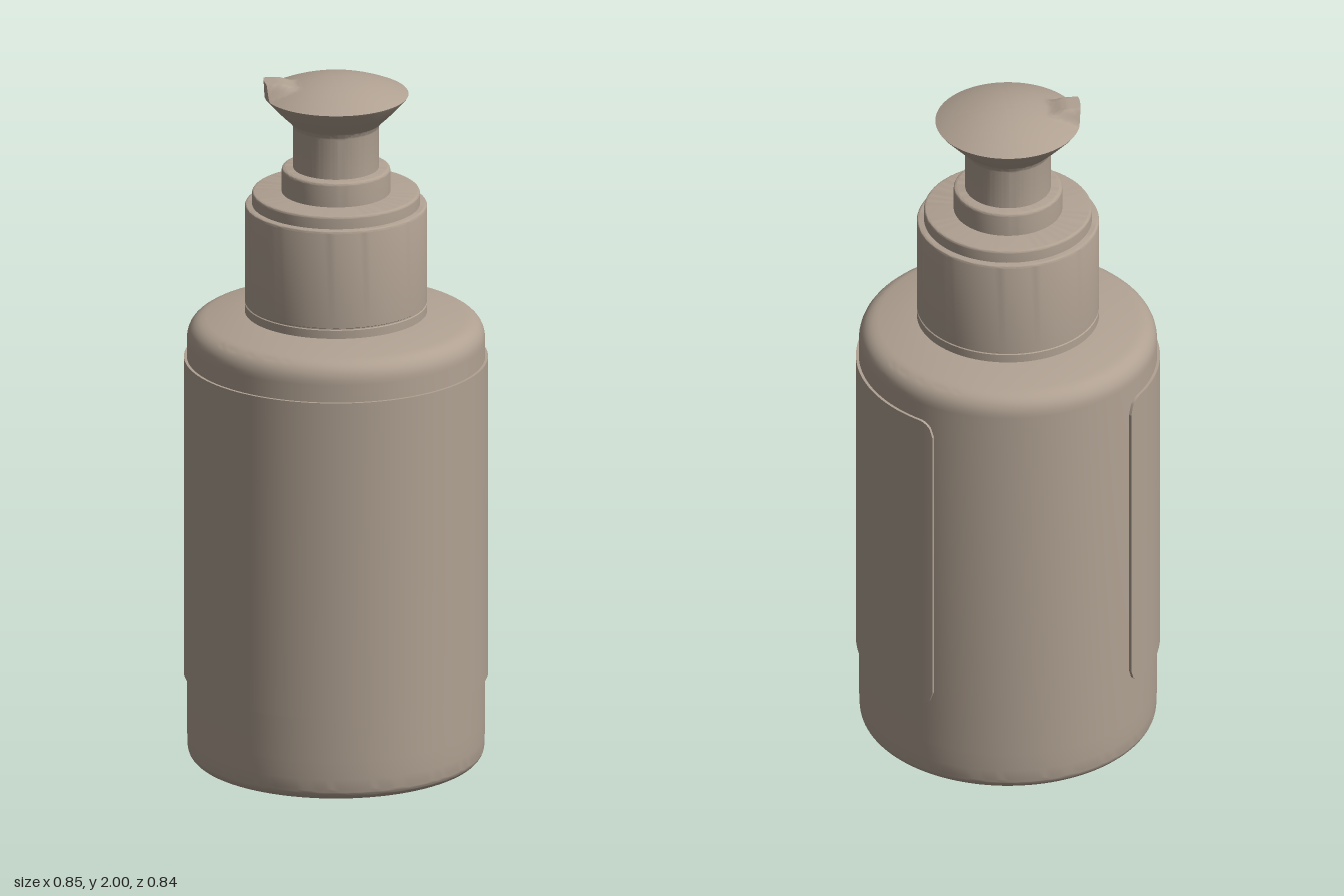
import * as THREE from 'three';
import { toCreasedNormals } from 'three/addons/utils/BufferGeometryUtils.js';

const beige = new THREE.MeshStandardMaterial({ color: 0xb0a192 });
beige.name = 'warm beige';

// Turns a list of [radius, y, cornerRadius] into a profile with rounded corners
function roundedProfile(corners, steps = 6) {
  const pts = corners.map(([x, y]) => new THREE.Vector2(x, y));
  const out = [];
  corners.forEach(([, , r = 0], i) => {
    const p = pts[i];
    if (!r || i === 0 || i === pts.length - 1) {
      out.push(p);
      return;
    }
    const a = pts[i - 1].clone().sub(p).setLength(r).add(p);
    const b = pts[i + 1].clone().sub(p).setLength(r).add(p);
    out.push(...new THREE.QuadraticBezierCurve(a, p, b).getPoints(steps));
  });
  return out;
}

function lathe(name, profile, segments = 96) {
  const geometry = toCreasedNormals(new THREE.LatheGeometry(profile, segments), 0.6);
  const mesh = new THREE.Mesh(geometry, beige);
  mesh.name = name;
  return mesh;
}

// Thin label wrapped round the bottle, with rounded corners and a gap at the back
function makeLabel() {
  const start = THREE.MathUtils.degToRad(-132), end = THREE.MathUtils.degToRad(144);
  const inner = 0.417, thick = 0.008, bottom = 0.25, top = 1.18, corner = 0.045;
  const width = (end - start) * inner;
  const geometry = new THREE.BoxGeometry(width, top - bottom, thick, 200, 1, 1);
  const pos = geometry.attributes.position;
  for (let i = 0; i < pos.count; i++) {
    const x = pos.getX(i);
    const toCorner = Math.max(0, corner - (width / 2 - Math.abs(x)));
    const inset = corner - Math.sqrt(Math.max(0, corner ** 2 - toCorner ** 2));
    const y = pos.getY(i) > 0 ? top - inset : bottom + inset;
    const angle = (start + end) / 2 + x / inner;
    const radius = inner + thick / 2 + pos.getZ(i);
    pos.setXYZ(i, Math.sin(angle) * radius, y, Math.cos(angle) * radius);
  }
  geometry.computeVertexNormals();
  const mesh = new THREE.Mesh(geometry, beige);
  mesh.name = 'label';
  return mesh;
}

// Flared pump head with a domed top pulled up into a spout lip on the -x side
function makePumpHead() {
  const rim = 0.203, rimY = 1.952;
  const profile = roundedProfile([[0.12, 1.73], [0.12, 1.866, 0.015], [0.155, 1.898, 0.02], [0.2, 1.947]]);
  for (let i = 0; i <= 28; i++) {
    const r = rim * (1 - i / 28);
    profile.push(new THREE.Vector2(r, rimY + 0.048 * (1 - (r / rim) ** 2)));
  }
  const geometry = new THREE.LatheGeometry(profile, 180);
  const pos = geometry.attributes.position;
  const { smoothstep, lerp } = THREE.MathUtils;
  for (let i = 0; i < pos.count; i++) {
    const x = pos.getX(i), y = pos.getY(i), z = pos.getZ(i);
    if (y < rimY - 0.001 || x > -0.05) continue;
    const along = smoothstep(-x, 0.06, 0.15);
    const across = 1 - smoothstep(Math.abs(z), 0.032, 0.06);
    const lipY = 1.985 + 0.013 * smoothstep(-x, 0.1, 0.17);
    pos.setY(i, lerp(y, Math.max(y, lipY), along * across));
  }
  const mesh = new THREE.Mesh(toCreasedNormals(geometry, 0.6), beige);
  mesh.name = 'pumpHead';
  return mesh;
}

export function createModel() {
  const model = new THREE.Group();
  model.name = 'pumpBottle';

  // Bottle with rounded base and gently sloping shoulder
  model.add(lathe('bottle', roundedProfile([
    [0, 0.004], [0.39, 0.004, 0.012], [0.414, 0.02, 0.02], [0.417, 0.1, 0.03],
    [0.417, 1.285, 0.055], [0.25, 1.315], [0, 1.315],
  ], 8), 128));
  model.add(makeLabel());

  // Screw cap with a fine seam near its lower edge
  model.add(lathe('cap', roundedProfile([
    [0.255, 1.305], [0.255, 1.338], [0.252, 1.34], [0.252, 1.343], [0.255, 1.345],
    [0.255, 1.63, 0.008], [0, 1.63],
  ])));
  model.add(lathe('capStep', roundedProfile([[0.235, 1.625], [0.235, 1.667, 0.008], [0, 1.667]])));
  model.add(lathe('collar', roundedProfile([[0.152, 1.66], [0.152, 1.738, 0.01], [0, 1.738]])));
  model.add(makePumpHead());

  return model;
}
